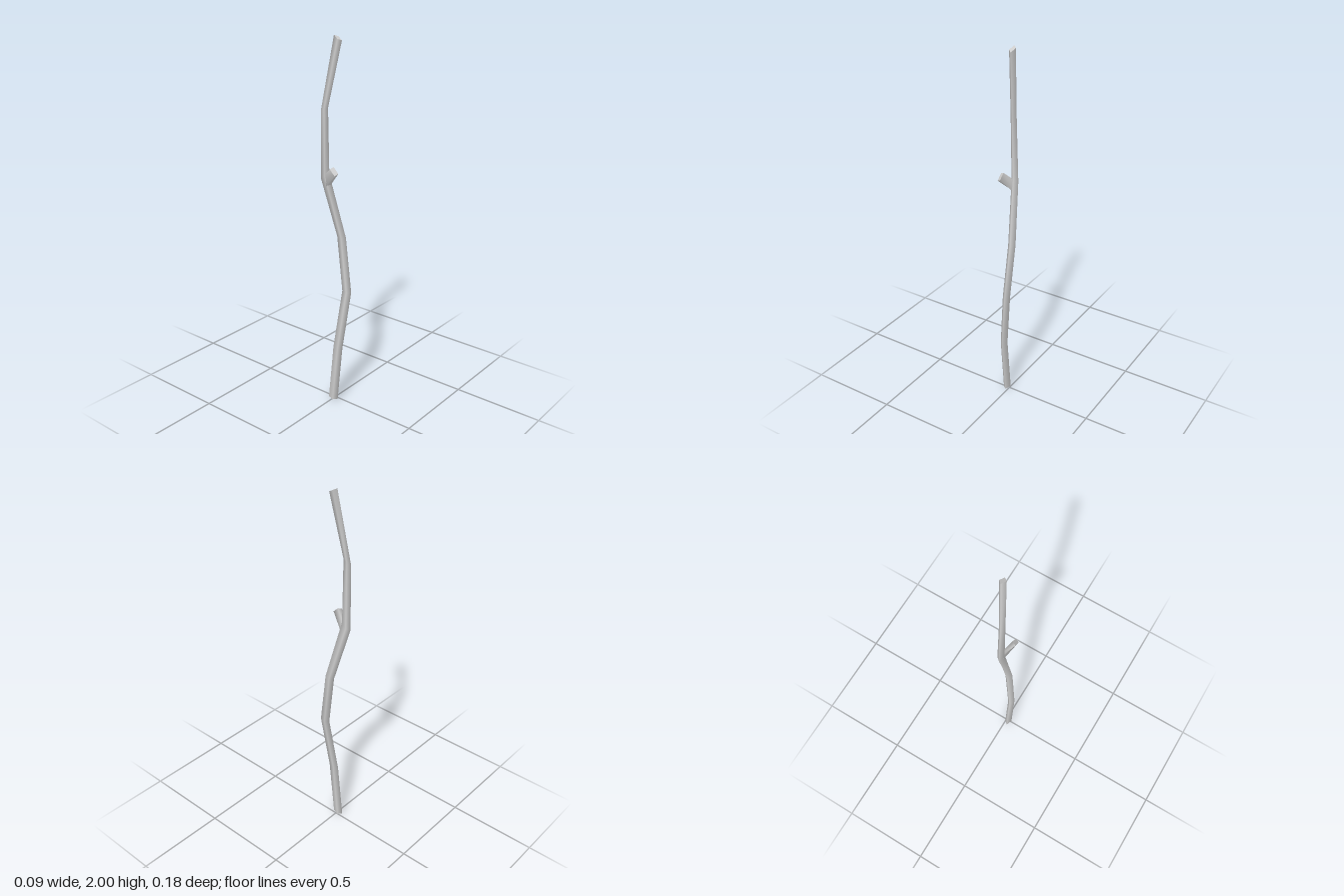
import * as THREE from 'three';

const material = new THREE.MeshStandardMaterial({ color: 0xcccccc });

// Skins four-cornered rings with smooth sides and closes both ends with flat caps.
// Corners run counter-clockwise when looking back from the tip.
function skin(rings, name) {
  const positions = rings.flat(2);
  const index = [];
  for (let r = 0; r < rings.length - 1; r++) {
    for (let i = 0; i < 4; i++) {
      const a = r * 4 + i, b = r * 4 + (i + 1) % 4;
      index.push(a, b, b + 4, a, b + 4, a + 4);
    }
  }
  const start = positions.length / 3;
  positions.push(...rings[0].flat(), ...rings[rings.length - 1].flat());
  index.push(start, start + 2, start + 1, start, start + 3, start + 2);
  index.push(start + 4, start + 5, start + 6, start + 4, start + 6, start + 7);

  const geometry = new THREE.BufferGeometry();
  geometry.setAttribute('position', new THREE.Float32BufferAttribute(positions, 3));
  geometry.setIndex(index);
  geometry.computeVertexNormals();
  const mesh = new THREE.Mesh(geometry, material);
  mesh.name = name;
  return mesh;
}

// Skewed diamond section: back, left, front and right corners
function diamond([x, y, z, hx, hz, slant = 0]) {
  return [[-0.25, -1], [-1, 0.35], [0.25, 1], [1, -0.35]]
    .map(([u, v]) => [x + u * hx, y - v * slant, z + v * hz]);
}

export function createModel() {
  const model = new THREE.Group();
  model.name = 'stick';

  // Crooked main stem: x, y, z, half width, half depth, slant of the cut
  const stem = [
    [-0.016, 0, -0.003, 0.017, 0.028],
    [-0.016, 0.33, 0.03, 0.016, 0.028],
    [0.02, 0.66, 0.061, 0.017, 0.027],
    [0.027, 0.96, 0.019, 0.017, 0.026],
    [-0.007, 1.285, -0.063, 0.015, 0.025, -0.015],
    [-0.014, 1.635, -0.06, 0.013, 0.021, -0.01],
    [0.017, 1.988, 0.001, 0.014, 0.022, 0.012],
  ];
  model.add(skin(stem.map(diamond), 'stem'));

  // Short broken-off side branch, rooted inside the stem
  model.add(skin([
    [[-0.018, 1.3, -0.055], [-0.016, 1.235, -0.05], [0.003, 1.225, -0.045], [0.002, 1.29, -0.055]],
    [[-0.049, 1.343, 0.002], [-0.049, 1.312, 0.034], [-0.03, 1.322, 0.042], [-0.028, 1.352, 0.011]],
  ], 'sideBranch'));

  return model;
}
